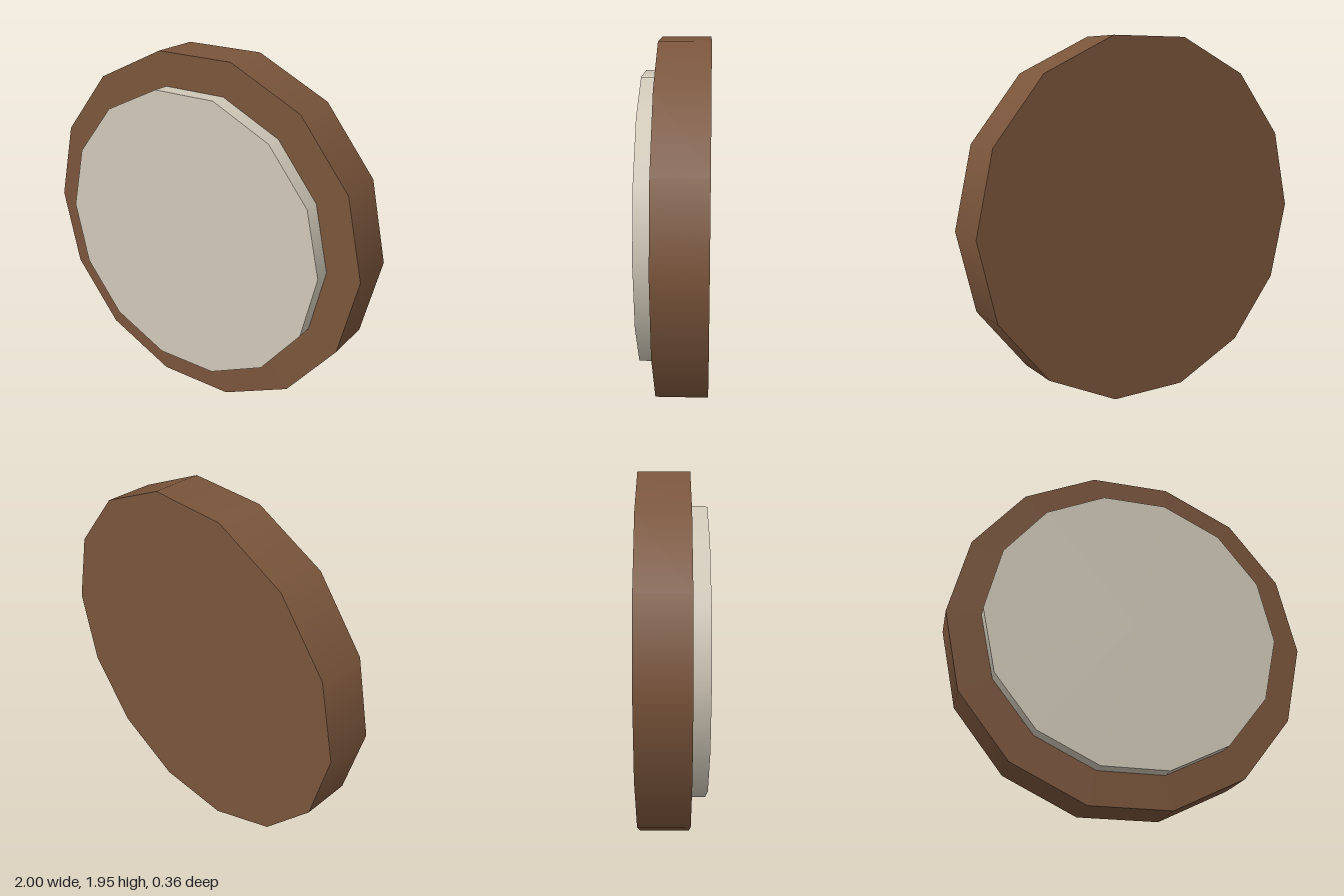
import * as THREE from 'three';

const SIDES = 14;
const CENTRE_Y = Math.cos(Math.PI / SIDES); // rests on a flat edge

// Upright disc facing +z with corners at its left and right, smooth round the rim
function disc(name, radius, back, front, material) {
  const geometry = new THREE.CylinderGeometry(radius, radius, front - back, SIDES, 1, false, Math.PI / 2);
  geometry.rotateX(Math.PI / 2);
  const mesh = new THREE.Mesh(geometry, material);
  mesh.name = name;
  mesh.position.set(0, CENTRE_Y, (back + front) / 2);
  return mesh;
}

export function createModel() {
  const brown = new THREE.MeshStandardMaterial({ color: 0x7a553b });
  brown.name = 'brown';
  const cream = new THREE.MeshStandardMaterial({ color: 0xd0c8b8 });
  cream.name = 'cream';

  const model = new THREE.Group();
  model.name = 'roundPlaque';
  // Thick body with the smaller raised face on its front
  model.add(disc('body', 1, -0.18, 0.09, brown));
  model.add(disc('face', 0.815, 0.05, 0.18, cream));
  return model;
}
